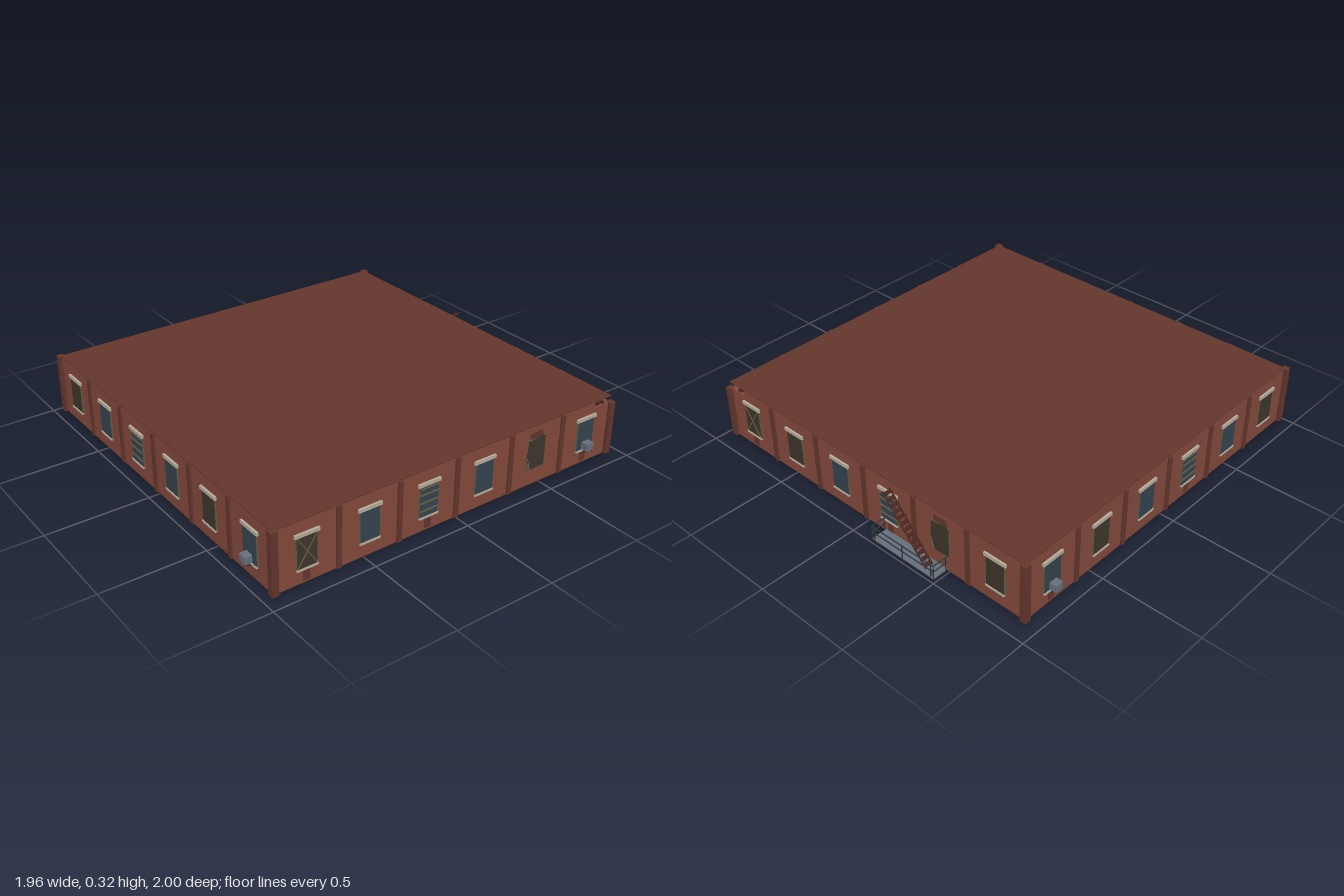
import * as THREE from 'three';

const material = (name, color) => {
  const m = new THREE.MeshStandardMaterial({ color });
  m.name = name;
  return m;
};
const brick = material('brick', 0x84493c);
const trim = material('dark brick', 0x64362c);
const stone = material('pale stone', 0xb5aa98);
const glass = material('window glass', 0x34434f);
const board = material('dark boarding', 0x3d362c);
const frameMat = material('window frame', 0x655d42);
const metal = material('grey metal', 0x66707a);
const iron = material('dark iron', 0x30373e);
const rust = material('rusty steel', 0x4a251e);

const HALF = 0.935, CZ = 0.02, BASE = 0.02, TOP = 0.32;

function box(parent, name, mat, w, h, d, x, y, z) {
  const mesh = new THREE.Mesh(new THREE.BoxGeometry(w, h, d), mat);
  mesh.name = name;
  mesh.position.set(x, y, z);
  parent.add(mesh);
  return mesh;
}

function plate(parent, name, mat, points, depth, z = 0) {
  const shape = new THREE.Shape(points.map(p => new THREE.Vector2(...p)));
  const mesh = new THREE.Mesh(new THREE.ExtrudeGeometry(shape, { depth, bevelEnabled: false }), mat);
  mesh.name = name;
  mesh.position.z = z;
  parent.add(mesh);
  return mesh;
}

// Straight bar between two points
function bar(parent, name, mat, a, b, t) {
  const A = new THREE.Vector3(...a), B = new THREE.Vector3(...b);
  const mesh = box(parent, name, mat, t, t, A.distanceTo(B), 0, 0, 0);
  mesh.position.copy(A).add(B).multiplyScalar(0.5);
  mesh.lookAt(B);
  return mesh;
}

// One window, centred on x = 0, facing +z from the wall plane
function makeWindow(kind, stained) {
  const g = new THREE.Group();
  g.name = kind + 'Window';
  if (stained) box(g, 'rustStain', trim, 0.036, 0.058, 0.002, 0, 0.058, 0.001);
  if (kind === 'broken') {
    // Burnt opening with ragged edges and soot above
    plate(g, 'soot', trim, [[-0.04, 0.25], [0.04, 0.25], [0.035, 0.288], [-0.04, 0.284]], 0.002);
    plate(g, 'brokenFrame', frameMat, [[-0.053, 0.115], [-0.04, 0.095], [0.052, 0.1], [0.054, 0.255], [-0.053, 0.255]], 0.004);
    plate(g, 'brokenOpening', board, [[-0.055, 0.15], [-0.034, 0.1], [0.05, 0.105], [0.05, 0.25], [0.035, 0.262], [-0.03, 0.25], [-0.05, 0.25]], 0.006);
    bar(g, 'glassShard', metal, [-0.055, 0.165, 0.006], [-0.036, 0.102, 0.006], 0.003);
    return g;
  }
  box(g, 'frame', frameMat, 0.106, 0.158, 0.005, 0, 0.17, 0.0025);
  box(g, 'pane', kind === 'boarded' || kind === 'crossed' ? board : glass, 0.098, 0.15, 0.007, 0, 0.169, 0.0035);
  box(g, 'lintel', stone, 0.12, 0.016, 0.011, 0, 0.253, 0.0055);
  box(g, 'sill', stone, 0.104, 0.009, 0.011, 0, 0.09, 0.0055);
  if (kind === 'barred')
    for (const y of [0.125, 0.165, 0.205, 0.235]) box(g, 'bar', frameMat, 0.1, 0.006, 0.005, 0, y, 0.009);
  if (kind === 'crossed')
    for (const s of [-1, 1])
      bar(g, 'crossBoard', frameMat, [-0.046 * s, 0.1, 0.008], [0.046 * s, 0.24, 0.008], 0.004);
  if (kind === 'cooled') {
    // Air conditioner on two brackets
    box(g, 'airConditioner', metal, 0.042, 0.036, 0.036, 0, 0.118, 0.026);
    for (const s of [-1, 1]) {
      box(g, 'unitBracket', iron, 0.004, 0.005, 0.036, s * 0.014, 0.098, 0.026);
      bar(g, 'unitBrace', iron, [s * 0.014, 0.082, 0.01], [s * 0.014, 0.097, 0.036], 0.004);
    }
  }
  return g;
}

// Wall details: windows listed left to right as seen from outside
function makeWall(name, kinds, stains, x, z, turn) {
  const g = new THREE.Group();
  g.name = name;
  g.position.set(x, 0, z);
  g.rotation.y = turn;
  kinds.forEach((kind, i) => {
    const w = makeWindow(kind, stains.includes(i));
    w.position.x = (i - 2.5) * 0.311;
    g.add(w);
  });
  for (let i = -2; i <= 2; i++)
    box(g, 'pilaster', trim, 0.024, TOP - BASE - 0.004, 0.01, i * 0.311, (TOP + BASE) / 2 - 0.002, 0.004);
  return g;
}

function makeFireEscape() {
  const g = new THREE.Group();
  g.name = 'fireEscape';
  const x0 = -0.5, x1 = -0.126, back = -0.915, edge = -0.998;
  box(g, 'platform', metal, x1 - x0, 0.006, 0.083, (x0 + x1) / 2, 0.026, -0.957);
  for (const x of [-0.485, -0.313, -0.141]) {
    box(g, 'bracket', rust, 0.006, 0.023, 0.075, x, 0.0115, -0.953);
    bar(g, 'post', iron, [x, 0.026, edge], [x, 0.098, edge], 0.004);
  }
  for (const y of [0.065, 0.096]) {
    bar(g, 'rail', iron, [x0, y, edge], [x1, y, edge], 0.004);
    for (const x of [x0, x1]) bar(g, 'endRail', iron, [x, y, edge], [x, y, back], 0.004);
  }
  for (const x of [x0, x1])
    for (const z of [edge, -0.927]) bar(g, 'cornerPost', iron, [x, 0.026, z], [x, 0.096, z], 0.004);

  // Stair rising towards +x
  for (const z of [-0.941, -0.979])
    bar(g, 'stringer', rust, [-0.437, 0.03, z], [-0.193, 0.312, z], 0.006);
  const steps = 13;
  for (let i = 0; i < steps; i++) {
    const t = (i + 0.5) / steps;
    box(g, 'tread', rust, 0.019, 0.005, 0.038, -0.437 + 0.244 * t, 0.03 + 0.282 * t, -0.96);
  }
  return g;
}

export function createModel() {
  const model = new THREE.Group();
  model.name = 'brickBuildingStorey';

  // Main walls, then a top band notched at the crumbled back corner
  const zf = CZ + HALF, zb = CZ - HALF, split = 0.287;
  box(model, 'walls', brick, 2 * HALF, split - BASE, 2 * HALF, 0, (BASE + split) / 2, CZ);
  const band = plate(model, 'upperWalls', brick, [
    [-HALF, -zf], [HALF, -zf], [HALF, 0.81], [0.9, 0.815], [0.885, 0.85],
    [0.85, 0.86], [0.83, -zb], [-HALF, -zb]
  ], TOP - 0.004 - split);
  band.rotation.x = -Math.PI / 2;
  band.position.y = split;
  box(model, 'roof', trim, 2 * HALF, 0.004, 2 * HALF, 0, TOP - 0.002, CZ);
  box(model, 'floor', trim, 2 * HALF, 0.003, 2 * HALF, 0, BASE - 0.0005, CZ);

  // Rubble left in the notch
  for (const [x, z, s] of [[0.915, -0.84, 0.014], [0.92, -0.872, 0.01], [0.87, -0.9, 0.012]])
    box(model, 'rubble', rust, s * 1.6, s, s * 1.6, x, split + s / 2, z);

  // Corner pillars, the damaged one cut short
  for (const x of [-HALF, HALF])
    for (const z of [zb, zf]) {
      const top = x > 0 && z < 0 ? 0.288 : TOP + 0.001;
      box(model, 'cornerPillar', trim, 0.032, top - BASE, 0.032, x, (top + BASE) / 2, z);
    }

  model.add(
    makeWall('frontWall', ['boarded', 'plain', 'barred', 'plain', 'boarded', 'cooled'], [], 0, zf, 0),
    makeWall('leftWall', ['crossed', 'plain', 'barred', 'plain', 'broken', 'cooled'], [0, 2, 5], HALF, CZ, Math.PI / 2),
    makeWall('backWall', ['crossed', 'boarded', 'plain', 'barred', 'broken', 'boarded'], [0, 3], 0, zb, Math.PI),
    makeWall('rightWall', ['cooled', 'boarded', 'plain', 'barred', 'plain', 'boarded'], [0, 3], -HALF, CZ, -Math.PI / 2),
    makeFireEscape()
  );
  return model;
}
